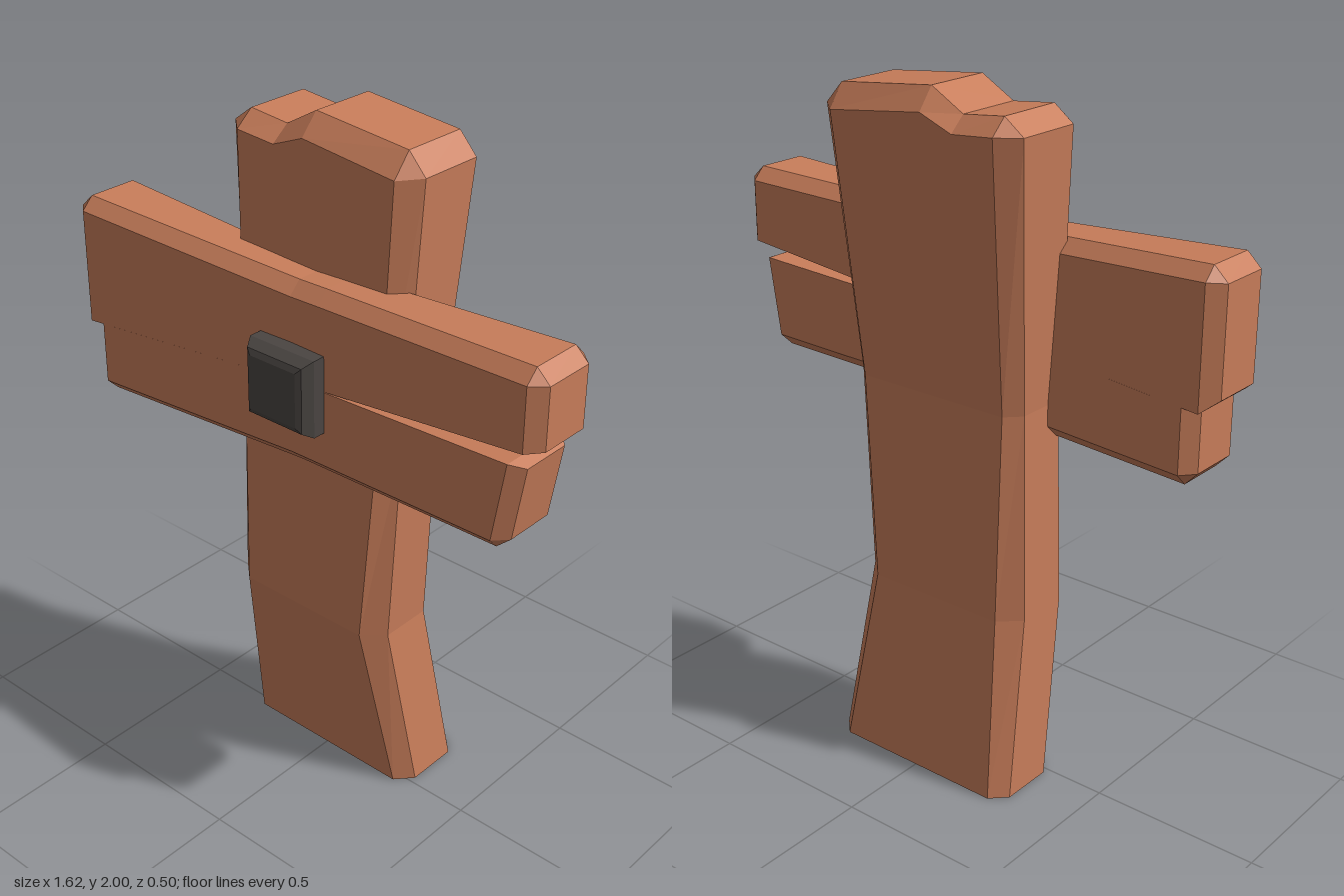
import * as THREE from 'three';

const wood = new THREE.MeshStandardMaterial({ color: 0xc87d5a, flatShading: true });
const iron = new THREE.MeshStandardMaterial({ color: 0x4a4542, flatShading: true });

// Skin a list of equal-length rings (counter-clockwise seen from the far end) and cap both ends
function loft(name, rings, material) {
  const n = rings[0].length, pos = [];
  const quad = (a, b, c, d) => {
    for (const [p, q, r] of [[a, b, c], [a, c, d]]) {
      const same = (u, v) => u.every((k, i) => Math.abs(k - v[i]) < 1e-6);
      if (!same(p, q) && !same(q, r) && !same(p, r)) pos.push(...p, ...q, ...r);
    }
  };
  for (let s = 0; s < rings.length - 1; s++)
    for (let i = 0; i < n; i++) {
      const j = (i + 1) % n;
      quad(rings[s][i], rings[s][j], rings[s + 1][j], rings[s + 1][i]);
    }
  const lo = rings[0], hi = rings[rings.length - 1];
  for (let i = 0; i < n / 2 - 1; i++) {
    quad(hi[i], hi[i + 1], hi[n - 2 - i], hi[n - 1 - i]);
    quad(lo[n - 1 - i], lo[n - 2 - i], lo[i + 1], lo[i]);
  }
  const g = new THREE.BufferGeometry();
  g.setAttribute('position', new THREE.Float32BufferAttribute(pos, 3));
  g.computeVertexNormals();
  const mesh = new THREE.Mesh(g, material);
  mesh.name = name;
  return mesh;
}

// Upright post: chamfered section that sways with height, broken-off top
function makePost() {
  // y, outer left, face left, face right, outer right, front, front chamfer, back chamfer, back
  const sections = [
    [0, -0.315, -0.27, 0.265, 0.31, 0.03, -0.02, -0.18, -0.225],
    [0.54, -0.305, -0.245, 0.19, 0.25, 0.105, 0.05, -0.11, -0.165],
    [1.15, -0.298, -0.257, 0.228, 0.273, 0.085, 0.035, -0.115, -0.157],
    [1.91, -0.35, -0.29, 0.245, 0.3, 0.055, 0, -0.2, -0.247],
  ];
  const cols = [0, 0.24, 0.43, 1];
  const rimY = [1.91, 1.9, 1.94, 1.905];   // upper edge of the faces
  const topY = [1.955, 1.942, 2, 1.97];    // upper edge of the break
  const rings = sections.map(([y, ol, fl, fr, or, f, fc, bc, b], s) => {
    const rim = s === sections.length - 1;
    const row = (z) => cols.map((t, i) => [fl + (fr - fl) * t, rim ? rimY[i] : y, z]);
    return [[ol, y, fc], ...row(f), [or, y, fc], [or, y, bc], ...row(b).reverse(), [ol, y, bc]];
  });
  // top ring: side points close onto the corners of the top face
  const row = (z) => cols.map((t, i) => [-0.29 + 0.535 * t, topY[i], z]);
  const front = row(0), back = row(-0.2).reverse();
  rings.push([front[0], ...front, front[3], back[0], ...back, back[3]]);
  return loft('post', rings, wood);
}

// Board along x, bowed slightly in z. Stations: x, bottom, top, end inset, lean of the end
function makeBoard(name, stations, chamferBottom, chamferTop) {
  const c = 0.037;
  const rings = stations.map(([x, y0, y1, inset = 0, lean = 0]) => {
    const bow = 0.028 * Math.min(1, Math.abs(x) / 0.77);
    const zb = -0.002 - bow + inset, zf = 0.17 + bow - inset;
    const k = Math.max(c - inset, 0);
    const kb = chamferBottom ? k : 0, kt = chamferTop ? k : 0;
    const p = (y, z) => [x + lean * (y - (y0 + y1) / 2), y, z];
    return [
      p(y0 + kb, zb), p(y1 - kt, zb), p(y1, zb + kt), p(y1, zf - kt),
      p(y1 - kt, zf), p(y0 + kb, zf), p(y0, zf - kb), p(y0, zb + kb),
    ];
  });
  return loft(name, rings, wood);
}

// Square spike head with a bevelled, slightly domed face
function makeSpike() {
  const cx = 0.008, cy = 1.318;
  const rings = [[0.1, 0.1], [0.113, 0.17], [0.113, 0.212], [0.096, 0.242], [0.08, 0.25]].map(([h, z]) =>
    [[-h, -h], [h, -h], [h, h], [-h, h]].map(([x, y]) => [cx + x, cy + y, z]));
  return loft('spikeHead', rings, iron);
}

export function createModel() {
  const group = new THREE.Group();
  group.name = 'woodenCross';
  group.add(makePost());

  // Crossbeam, split lengthwise into two halves that part towards the right end
  const beam = new THREE.Group();
  beam.name = 'crossbeam';
  beam.add(makeBoard('upperBoard', [
    [-0.812, 1.288, 1.59, 0.037],
    [-0.77, 1.253, 1.63],
    [0, 1.317, 1.598],
    [0.1, 1.325, 1.602],
    [0.77, 1.405, 1.623],
    [0.81, 1.41, 1.585, 0.037],
  ], false, true));
  beam.add(makeBoard('lowerBoard', [
    [-0.758, 1.075, 1.253, 0.037],
    [-0.72, 1.035, 1.257],
    [0, 1.063, 1.317],
    [0.1, 1.067, 1.325],
    [0.705, 1.09, 1.36, 0, 0.16],
    [0.745, 1.13, 1.345, 0.037, 0.16],
  ], true, false));
  group.add(beam, makeSpike());
  return group;
}
